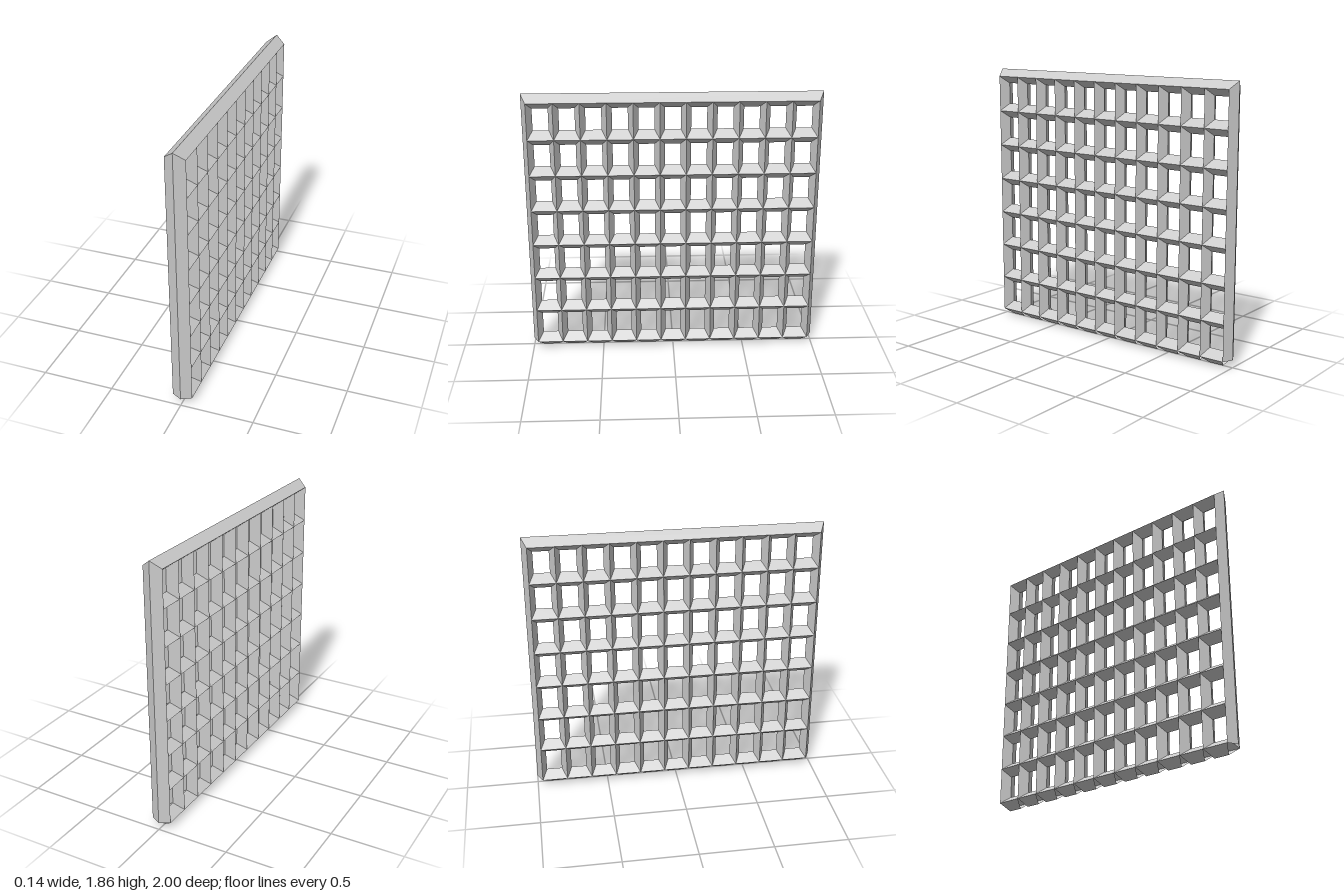
import * as THREE from 'three';
import { mergeGeometries } from 'three/addons/utils/BufferGeometryUtils.js';

const COLS = 11, ROWS = 7;
const HALF_Z = 0.965, BOTTOM = 0.052, TOP = 1.809; // outermost knife edges
const DEPTH = 0.068;                               // knife edges lie at x = +-DEPTH
const BAR_Z = 0.035, BAR_Y = 0.051;                // half widths of bars at x = 0
const BOTTOM_SIDE = 0, BACK_SIDE = 1, TOP_SIDE = 2, FRONT_SIDE = 3;

// Rectangle in the z/y plane, counter-clockwise seen from +x
const rect = (z0, z1, y0, y1) => [[z1, y0], [z0, y0], [z0, y1], [z1, y1]];

// Mitred sloping faces from a large rectangle to a smaller one, mirrored in x
function slopes(big, bigX, small, smallX, sides) {
  const pos = [];
  for (const i of sides) {
    const j = (i + 1) % 4;
    for (const s of [1, -1]) {
      const p = [
        [s * bigX, big[i][1], big[i][0]],
        [s * bigX, big[j][1], big[j][0]],
        [s * smallX, small[j][1], small[j][0]],
        [s * smallX, small[i][1], small[i][0]],
      ];
      const order = s > 0 ? [0, 1, 2, 0, 2, 3] : [0, 2, 1, 0, 3, 2];
      for (const k of order) pos.push(...p[k]);
    }
  }
  const geo = new THREE.BufferGeometry();
  geo.setAttribute('position', new THREE.Float32BufferAttribute(pos, 3));
  geo.computeVertexNormals();
  return geo;
}

export function createModel() {
  const group = new THREE.Group();
  const material = new THREE.MeshStandardMaterial({
    color: 0xcccccc, flatShading: true, side: THREE.DoubleSide,
  });
  const add = (name, geometry) => {
    const mesh = new THREE.Mesh(geometry, material);
    mesh.name = name;
    group.add(mesh);
  };

  // One cell opening: wide at both faces, narrow in the middle
  const dz = 2 * HALF_Z / COLS, dy = (TOP - BOTTOM) / ROWS;
  const cell = (col, row, sides) => {
    const z = -HALF_Z + col * dz, y = BOTTOM + row * dy;
    return slopes(
      rect(z, z + dz, y, y + dy), DEPTH,
      rect(z + BAR_Z, z + dz - BAR_Z, y + BAR_Y, y + dy - BAR_Y), 0, sides);
  };

  // Lattice rows
  for (let row = 0; row < ROWS; row++) {
    const cells = [];
    for (let col = 0; col < COLS; col++) {
      cells.push(cell(col, row, [BOTTOM_SIDE, BACK_SIDE, TOP_SIDE, FRONT_SIDE]));
    }
    add('latticeRow' + (row + 1), mergeGeometries(cells));
  }

  // Underside of the lowest bar: separate mitred pieces below each cell
  const feet = [];
  for (let col = 0; col < COLS; col++) feet.push(cell(col, -1, [TOP_SIDE]));
  add('bottomBevels', mergeGeometries(feet));

  // Outer bevels of the top bar and the two end posts
  const ridge = rect(-HALF_Z - BAR_Z, HALF_Z + BAR_Z, BOTTOM, TOP + BAR_Y);
  const edge = rect(-HALF_Z, HALF_Z, BOTTOM, TOP);
  add('topBevel', slopes(ridge, 0, edge, DEPTH, [TOP_SIDE]));
  add('frontPostBevel', slopes(ridge, 0, edge, DEPTH, [FRONT_SIDE]));
  add('backPostBevel', slopes(ridge, 0, edge, DEPTH, [BACK_SIDE]));

  return group;
}
